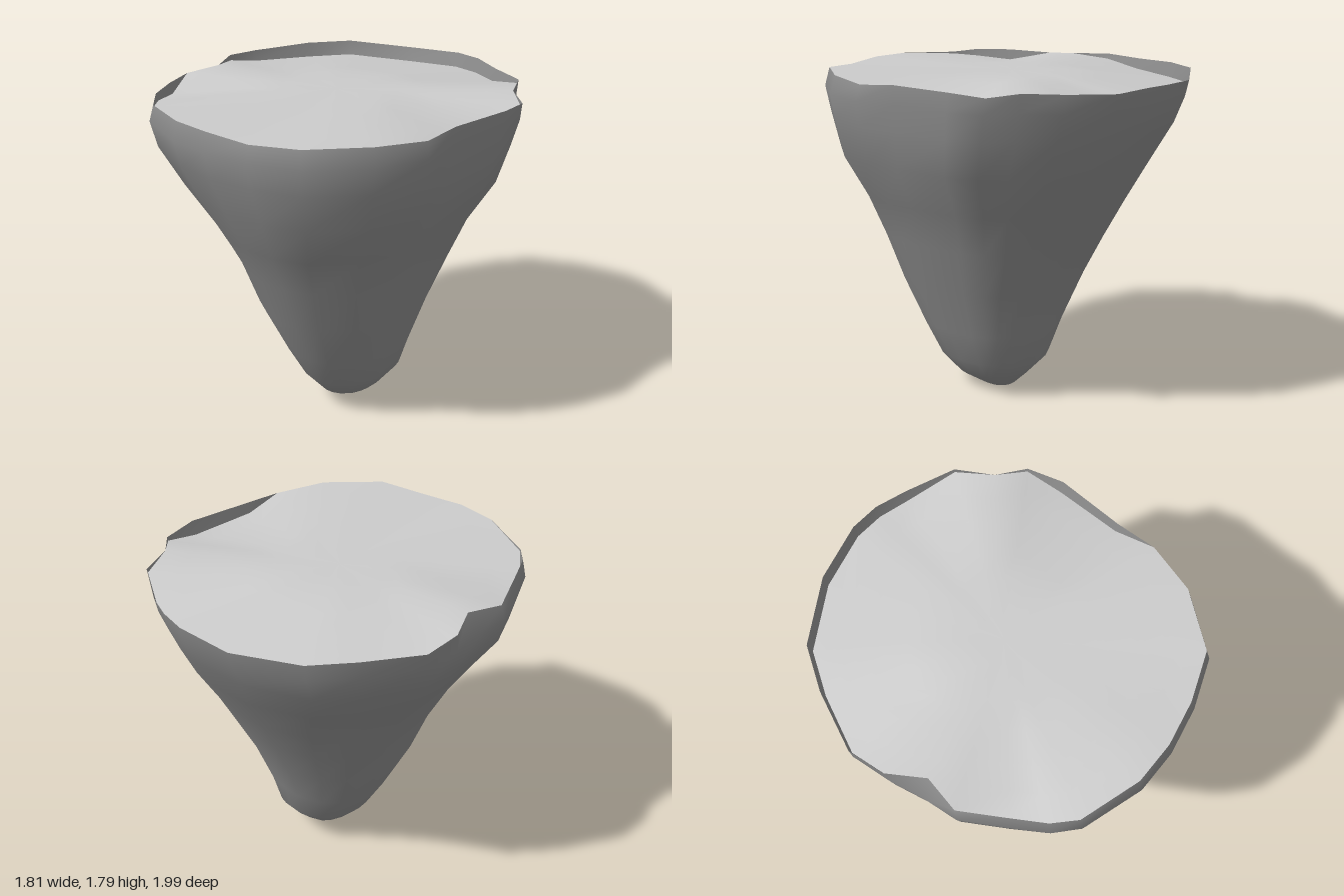
import * as THREE from 'three';

// Rim outline [x, z, drop of the top surface inside it], anticlockwise seen from above
const rim = [
  [0.9, -0.29, 0.08], [0.86, -0.49, 0.02], [0.72, -0.6, 0.0], [0.62, -0.79, 0.02],
  [0.37, -0.92, 0.07], [0.2, -0.98, 0.08], [0.04, -1, 0.08], [-0.27, -0.95, 0.08],
  [-0.61, -0.77, 0.08], [-0.76, -0.56, 0.08], [-0.91, -0.26, 0.06], [-0.9, -0.05, 0.03],
  [-0.87, 0.15, 0], [-0.86, 0.34, 0], [-0.74, 0.57, 0.06], [-0.64, 0.75, 0.04],
  [-0.53, 0.86, 0.01], [-0.2, 0.98, 0], [0.04, 0.99, 0], [0.3, 0.95, 0],
  [0.57, 0.86, 0], [0.8, 0.59, 0], [0.9, 0.31, 0], [0.87, 0.08, 0.06],
];

// Cross-sections of the body: [y, min x, max x, min z, max z]
const levels = [
  [0.0, 0.13, 0.13, -0.045, -0.045],
  [0.02, 0.05, 0.21, -0.1, 0.08],
  [0.08, -0.04, 0.29, -0.16, 0.23],
  [0.2, -0.15, 0.385, -0.27, 0.34],
  [0.38, -0.25, 0.45, -0.32, 0.44],
  [0.64, -0.38, 0.54, -0.42, 0.57],
  [0.9, -0.49, 0.63, -0.55, 0.67],
  [1.12, -0.6, 0.71, -0.67, 0.78],
  [1.35, -0.74, 0.84, -0.81, 0.9],
  [1.55, -0.87, 0.88, -0.92, 0.97],
  [1.69, -0.9, 0.905, -0.98, 1.0],
];

// Joins rings of equal point count into a smooth surface
function loft(rings) {
  const n = rings[0].length;
  const index = [];
  for (let j = 0; j < rings.length - 1; j++) {
    for (let i = 0; i < n; i++) {
      const k = (i + 1) % n;
      const a = j * n + i, b = j * n + k, c = (j + 1) * n + k, d = (j + 1) * n + i;
      index.push(a, b, c, a, c, d);
    }
  }
  const geometry = new THREE.BufferGeometry();
  geometry.setAttribute('position', new THREE.Float32BufferAttribute(rings.flat(2), 3));
  geometry.setIndex(index);
  geometry.computeVertexNormals();
  return geometry;
}

// Body section: an ellipse low down, flatter towards -x +z, that turns into the rim outline
function bodyRing([y, x0, x1, z0, z1]) {
  const blend = THREE.MathUtils.smoothstep(y, 0.8, 1.69);
  return rim.map(([rx, rz]) => {
    const angle = Math.atan2(rz, rx);
    const corner = Math.sin(2 * angle);
    const bulge = 1 + 0.07 * (rx > 0 ? Math.abs(corner) : corner);
    const ux = THREE.MathUtils.lerp(Math.cos(angle) * bulge, rx / 0.905, blend);
    const uz = THREE.MathUtils.lerp(Math.sin(angle) * bulge, rz, blend);
    return [(x0 + x1) / 2 + ux * (x1 - x0) / 2, y, (z0 + z1) / 2 + uz * (z1 - z0) / 2];
  });
}

export function createModel() {
  const group = new THREE.Group();
  const add = (name, rings, color) => {
    const material = new THREE.MeshStandardMaterial({ color, side: THREE.DoubleSide });
    const mesh = new THREE.Mesh(loft(rings), material);
    mesh.name = name;
    group.add(mesh);
  };

  // Upper edge: upright at the back, drawn in at the front, chipped on the -x side
  const edge = rim.map(([x, z], i) => {
    const inset = i === 12 ? 0.91 : z > 0.1 ? 0.975 : 1;
    return [x * inset, i % 3 === 1 ? 1.775 : 1.79, z * inset];
  });

  // Top surface at a fraction s of the way out, sinking and drawing in along the low stretches
  const topRing = (s) => edge.map(([x, y, z], i) => {
    const drop = rim[i][2];
    const reach = s * (1 - 0.25 * drop);
    const sink = drop * Math.max(0, (s - 0.35) / 0.65);
    return [x * reach, THREE.MathUtils.lerp(1.785, y, s * s) - sink, z * reach];
  });

  add('taperedBody', [...levels.map(bodyRing), edge], 0x8c8c8c);
  add('innerLip', [edge, topRing(1)], 0x8c8c8c);
  add('unevenTop', [1, 0.85, 0.7, 0.5, 0.35, 0.15, 0].map(topRing), 0xd4d4d4);

  return group;
}
